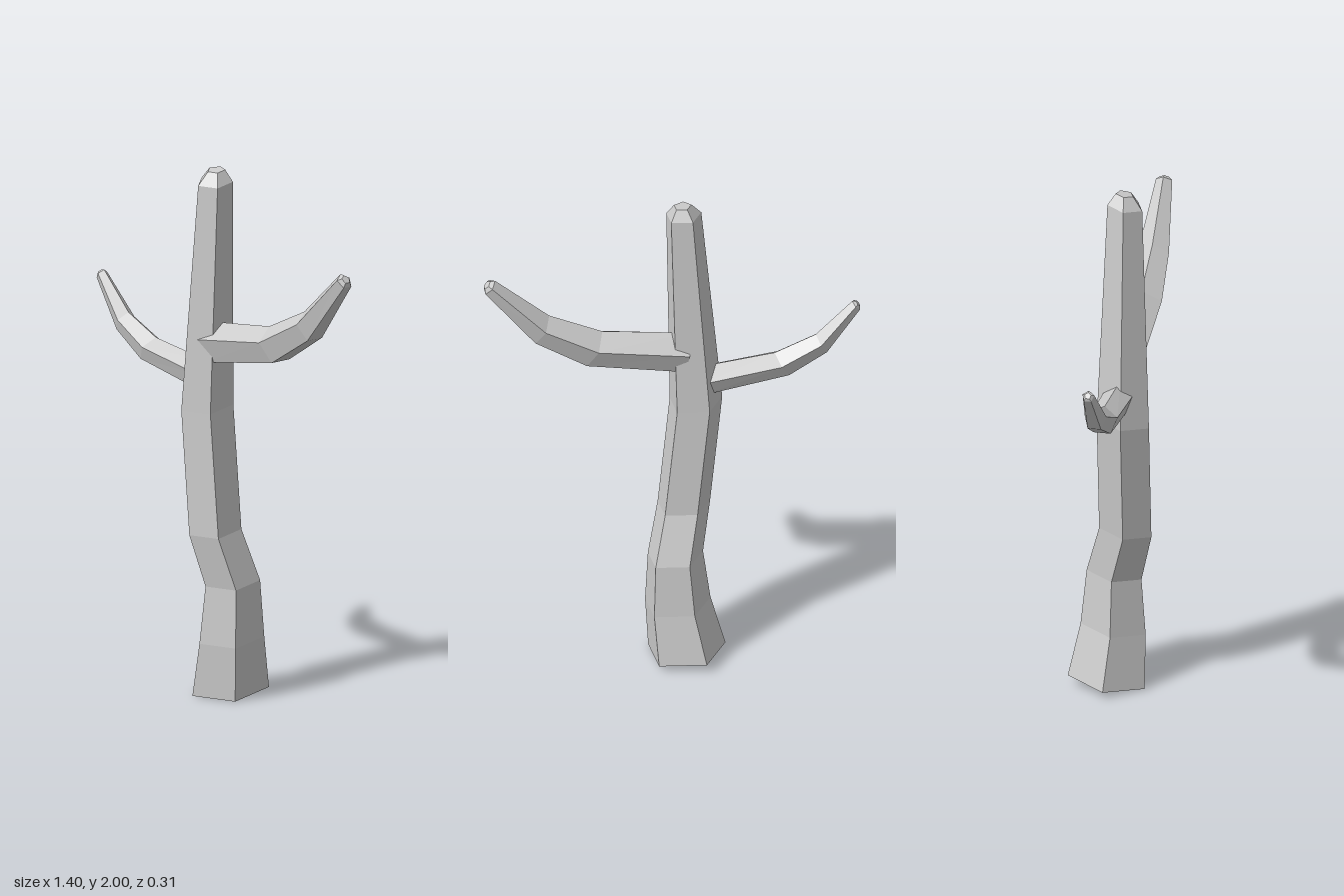
import * as THREE from 'three';

const SIDES = 5;
const material = new THREE.MeshStandardMaterial({
  color: 0xcccccc, flatShading: true, side: THREE.DoubleSide,
});

// Five-sided ring around a centre, spanned by the axes u and v
function ring(centre, radius, u, v, startDeg = 0) {
  return Array.from({ length: SIDES }, (_, k) => {
    const a = THREE.MathUtils.degToRad(startDeg) + (k / SIDES) * Math.PI * 2;
    return centre.clone()
      .addScaledVector(u, Math.cos(a) * radius)
      .addScaledVector(v, Math.sin(a) * radius);
  });
}

// Skin the rings and close the far end; the near end stays open
function loft(name, rings) {
  const points = [];
  for (let i = 0; i < rings.length - 1; i++) {
    for (let k = 0; k < SIDES; k++) {
      const n = (k + 1) % SIDES;
      const a = rings[i][k], b = rings[i][n];
      const c = rings[i + 1][n], d = rings[i + 1][k];
      points.push(a, d, c, a, c, b);
    }
  }
  const end = rings[rings.length - 1];
  for (let k = 1; k < SIDES - 1; k++) points.push(end[0], end[k + 1], end[k]);
  const geometry = new THREE.BufferGeometry().setFromPoints(points);
  geometry.computeVertexNormals();
  const mesh = new THREE.Mesh(geometry, material);
  mesh.name = name;
  return mesh;
}

// Trunk: rows of x, y, z, radius; every ring tips slightly up at the back left
function trunk() {
  const u = new THREE.Vector3(1, -0.06, 0);
  const v = new THREE.Vector3(0, -0.13, 1);
  const rows = [
    [-0.04, 0.018, -0.013, 0.15],
    [-0.01, 0.22, 0.006, 0.127],
    [-0.002, 0.435, 0.007, 0.107],
    [-0.042, 0.63, 0.057, 0.102],
    [-0.087, 1.095, 0.057, 0.102],
    [-0.042, 1.95, 0.054, 0.068],
    [-0.038, 1.996, 0.05, 0.034],
  ];
  return loft('trunk', rows.map(([x, y, z, r]) =>
    ring(new THREE.Vector3(x, y, z), r, u, v, 32)));
}

// Branch: rows of x, y, radius, climb angle; side is +1 or -1 along x
function branch(name, side, z, rows) {
  return loft(name, rows.map(([x, y, r, climb]) => {
    const a = THREE.MathUtils.degToRad(climb);
    const along = new THREE.Vector3(side * Math.cos(a), Math.sin(a), 0);
    const u = new THREE.Vector3(-side * Math.sin(a), Math.cos(a), 0);
    const v = u.clone().cross(along);
    return ring(new THREE.Vector3(x, y, z), r, u, v);
  }));
}

export function createModel() {
  const tree = new THREE.Group();
  tree.name = 'bareTree';
  tree.add(
    trunk(),
    branch('leftBranch', 1, 0.052, [
      [-0.05, 1.335, 0.08, 10],
      [0.296, 1.393, 0.075, 28],
      [0.49, 1.502, 0.061, 31],
      [0.682, 1.713, 0.032, 42],
      [0.691, 1.722, 0.018, 42],
    ]),
    branch('rightBranch', -1, 0.045, [
      [-0.1, 1.2, 0.059, 8],
      [-0.408, 1.243, 0.0545, 30],
      [-0.555, 1.318, 0.043, 29],
      [-0.685, 1.473, 0.023, 40],
      [-0.692, 1.479, 0.013, 40],
    ]),
  );
  return tree;
}
